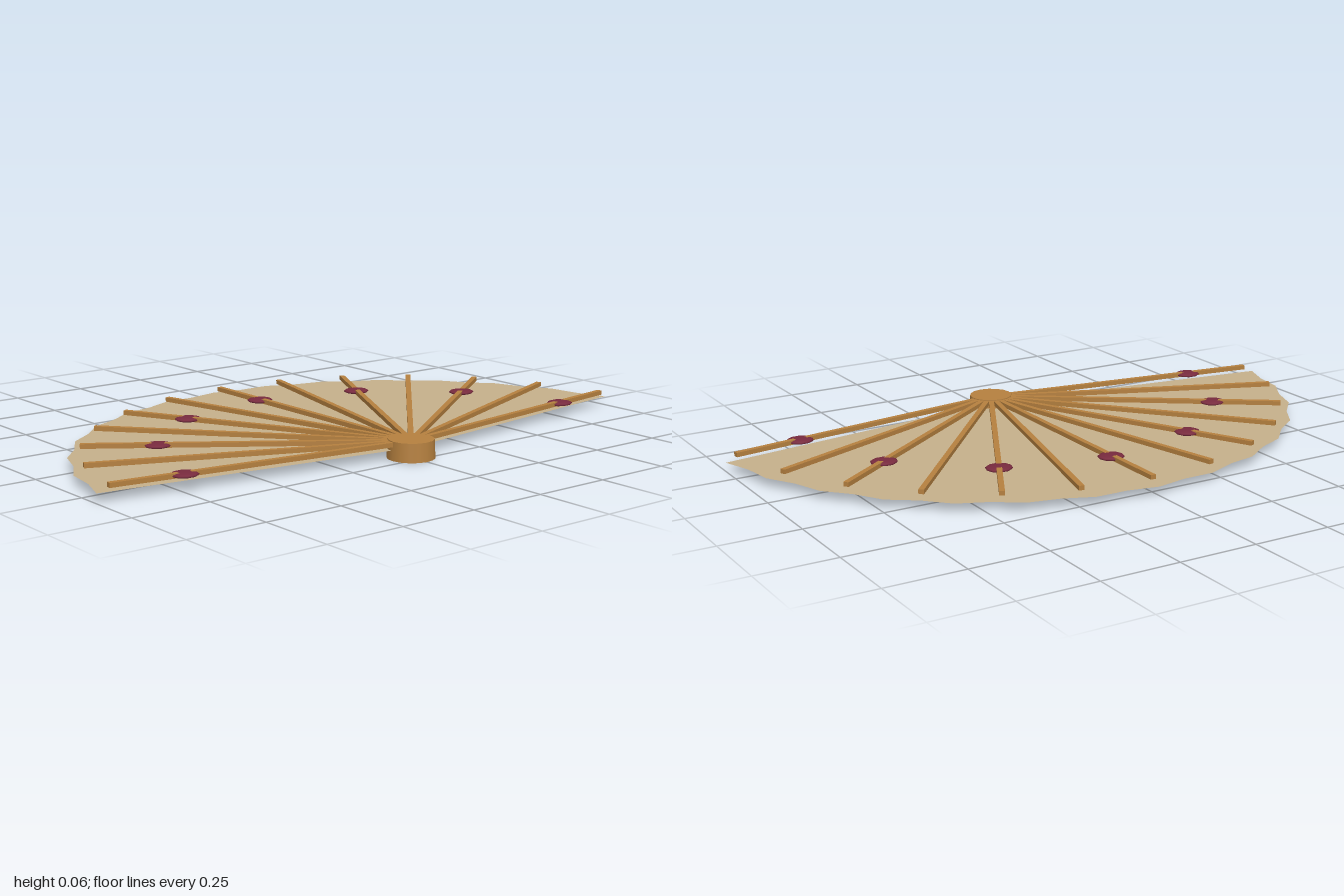
import * as THREE from 'three';

const PIVOT_Z = 0.468;
const HALF_SPREAD = THREE.MathUtils.degToRad(82);
const RIBS = 13;

export function createModel() {
  const wood = new THREE.MeshStandardMaterial({ color: 0xb5803f });
  wood.name = 'wood';
  const paper = new THREE.MeshStandardMaterial({ color: 0xc6b08b, side: THREE.DoubleSide });
  paper.name = 'paper';
  const wine = new THREE.MeshStandardMaterial({ color: 0x782a3e });
  wine.name = 'wine red';

  const model = new THREE.Group();
  model.name = 'foldingFan';
  // everything fans out around the pivot
  const fan = new THREE.Group();
  fan.name = 'fan';
  fan.position.z = PIVOT_Z;
  model.add(fan);

  const add = (name, geometry, material, x, y, z) => {
    const mesh = new THREE.Mesh(geometry, material);
    mesh.name = name;
    mesh.position.set(x, y, z);
    fan.add(mesh);
    return mesh;
  };

  // pivot hub
  add('pivotHub', new THREE.CylinderGeometry(0.07, 0.073, 0.058, 16), wood, 0, 0.029, 0);

  // thin leaf with a scalloped outer edge
  const outline = new THREE.Shape();
  outline.moveTo(0, 0);
  const steps = 28;
  for (let i = 0; i <= steps; i++) {
    const a = HALF_SPREAD * (1 - (2 * i) / steps);
    const r = i % 2 ? 0.995 : 1.01;
    outline.lineTo(Math.sin(a) * r, Math.cos(a) * r);
  }
  outline.closePath();
  const leaf = new THREE.ShapeGeometry(outline);
  leaf.rotateX(-Math.PI / 2);
  add('leaf', leaf, paper, 0, 0.029, 0);

  // ribs, with a flattened bead on every second one
  const length = 0.975;
  const ribGeometry = new THREE.BoxGeometry(0.017, 0.014, length);
  ribGeometry.translate(0, 0, -length / 2);
  const beadGeometry = new THREE.SphereGeometry(0.043, 10, 8);
  beadGeometry.scale(1, 0.19, 0.92);

  for (let i = 0; i < RIBS; i++) {
    const a = HALF_SPREAD * ((2 * i) / (RIBS - 1) - 1);
    add('rib', ribGeometry, wood, 0, 0.048, 0).rotation.y = -a;
    if (i % 2 === 0) {
      add('bead', beadGeometry, wine, Math.sin(a) * 0.747, 0.048, -Math.cos(a) * 0.747);
    }
  }

  return model;
}
